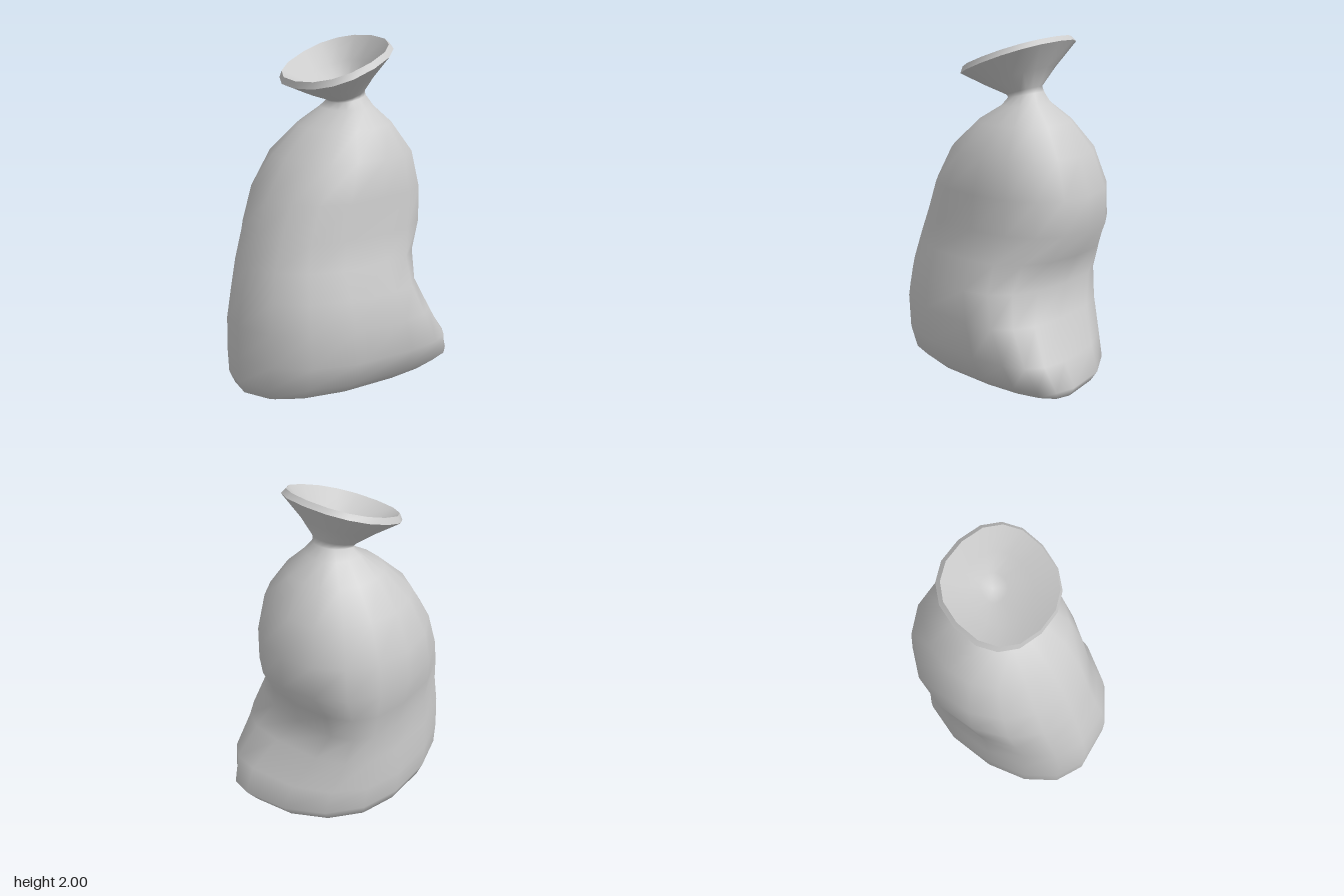
import * as THREE from 'three';

const SIDES = 16;

// Fullness of the quadrants front-left, front-right, back-right, back-left
// (1 is an ellipse, lower is squarer).
const PLAIN = [0.87, 0.98, 0.93, 0.88];
const MOUTH = [0.87, 0.87, 0.87, 0.87];
const slump = (backRight, backLeft) => [0.87, 0.95, backRight, backLeft];

// Closed outline through four extremes, joined by rounded quadrants.
// y: height at the middle, xL/xR/zF/zB: extents, xB: where the back extreme
// sits, zS: where the left-side extreme sits, tilt: rise per unit of z.
function ring([y, xL, xR, zF, zB, xB, zS, tilt = 0, fullness = PLAIN]) {
  const xF = -0.02, zL = Math.min(-0.06, zF - 0.05), zMid = (zF + zB) / 2;
  const points = [];
  for (let i = 0; i < SIDES; i++) {
    const t = (i / SIDES) * Math.PI * 2;
    const c = Math.cos(t), s = Math.sin(t);
    const e = fullness[Math.floor((i * 4) / SIDES)];
    // pivots of the quadrant this point belongs to
    const px = s >= 0 ? xF : xB;
    const pz = c >= 0 ? zS : zL;
    const x = px + Math.abs(c) ** e * ((c >= 0 ? xR : xL) - px);
    const z = pz + Math.abs(s) ** e * ((s >= 0 ? zF : zB) - pz);
    points.push([x, y + tilt * (z - zMid), z]);
  }
  return points;
}

// Skin a stack of rings; optional centre points close the first or last ring.
function loft(name, rows, material, startPoint, endPoint) {
  const pos = rows.flatMap(ring).flat();
  const index = [];
  for (let r = 0; r < rows.length - 1; r++) {
    for (let i = 0; i < SIDES; i++) {
      const j = (i + 1) % SIDES;
      const a = r * SIDES + i, b = r * SIDES + j;
      index.push(a, a + SIDES, b, b, a + SIDES, b + SIDES);
    }
  }
  const cap = (point, first, flip) => {
    const centre = pos.length / 3;
    pos.push(...point);
    for (let i = 0; i < SIDES; i++) {
      const a = first + i, b = first + ((i + 1) % SIDES);
      if (flip) index.push(centre, b, a);
      else index.push(centre, a, b);
    }
  };
  if (startPoint) cap(startPoint, 0, false);
  if (endPoint) cap(endPoint, (rows.length - 1) * SIDES, true);
  const geometry = new THREE.BufferGeometry();
  geometry.setAttribute('position', new THREE.Float32BufferAttribute(pos, 3));
  geometry.setIndex(index);
  geometry.computeVertexNormals();
  const mesh = new THREE.Mesh(geometry, material);
  mesh.name = name;
  return mesh;
}

export function createModel() {
  const group = new THREE.Group();
  group.name = 'tiedSack';
  const cloth = new THREE.MeshStandardMaterial({ color: 0xcccccc, side: THREE.DoubleSide });

  // rim edges shared by the outer skin, the lip and the funnel
  const rimOuter = [1.862, -0.34, 0.3, 0.245, -0.35, -0.02, -0.06, -0.385, MOUTH];
  const rimInner = [1.893, -0.32, 0.28, 0.238, -0.322, -0.02, -0.05, -0.38, MOUTH];

  // full body with the slumped back corner, pinched neck and flared mouth
  const body = [
    [0.008, -0.2, 0.18, 0.28, -0.4, 0.05, -0.1],
    [0.03, -0.36, 0.29, 0.55, -0.5, 0.12, -0.12, 0, slump(0.94, 0.85)],
    [0.06, -0.42, 0.36, 0.62, -0.6, 0.18, -0.16, 0, slump(0.94, 0.78)],
    [0.13, -0.45, 0.45, 0.652, -0.655, 0.21, -0.18, 0, slump(0.94, 0.74)],
    [0.27, -0.46, 0.51, 0.658, -0.59, 0.21, -0.18, 0, slump(0.88, 0.74)],
    [0.46, -0.455, 0.51, 0.657, -0.475, 0.12, -0.13, 0, slump(0.74, 0.78)],
    [0.63, -0.45, 0.475, 0.625, -0.42, 0.0, -0.08, 0, slump(0.66, 0.85)],
    [0.79, -0.482, 0.42, 0.58, -0.47, -0.03, -0.05, 0, slump(0.76, 0.88)],
    [0.95, -0.515, 0.385, 0.525, -0.56, -0.02, -0.06],
    [1.15, -0.5, 0.38, 0.445, -0.56, -0.02, -0.07],
    [1.36, -0.415, 0.35, 0.315, -0.495, -0.02, -0.1],
    [1.52, -0.275, 0.24, 0.15, -0.375, -0.02, -0.12, -0.02],
    [1.615, -0.155, 0.14, 0.0, -0.265, -0.01, -0.13, -0.06],
    [1.665, -0.11, 0.095, -0.025, -0.225, -0.01, -0.13, -0.22],
    [1.685, -0.115, 0.1, -0.015, -0.21, -0.01, -0.13, -0.32],
    [1.76, -0.205, 0.185, 0.11, -0.26, -0.02, -0.09, -0.36, MOUTH],
    rimOuter,
  ];
  group.add(loft('sackBody', body, cloth, [0, 0, 0]));

  // flat cloth edge around the mouth
  group.add(loft('mouthLip', [rimOuter, rimInner], cloth));

  // inside of the mouth, narrowing to the tie
  const funnel = [
    rimInner,
    [1.8, -0.195, 0.17, 0.11, -0.25, -0.02, -0.08, -0.36, MOUTH],
    [1.73, -0.08, 0.07, -0.04, -0.19, -0.01, -0.12, -0.3],
  ];
  group.add(loft('mouthFunnel', funnel, cloth, null, [-0.005, 1.7, -0.125]));

  return group;
}
